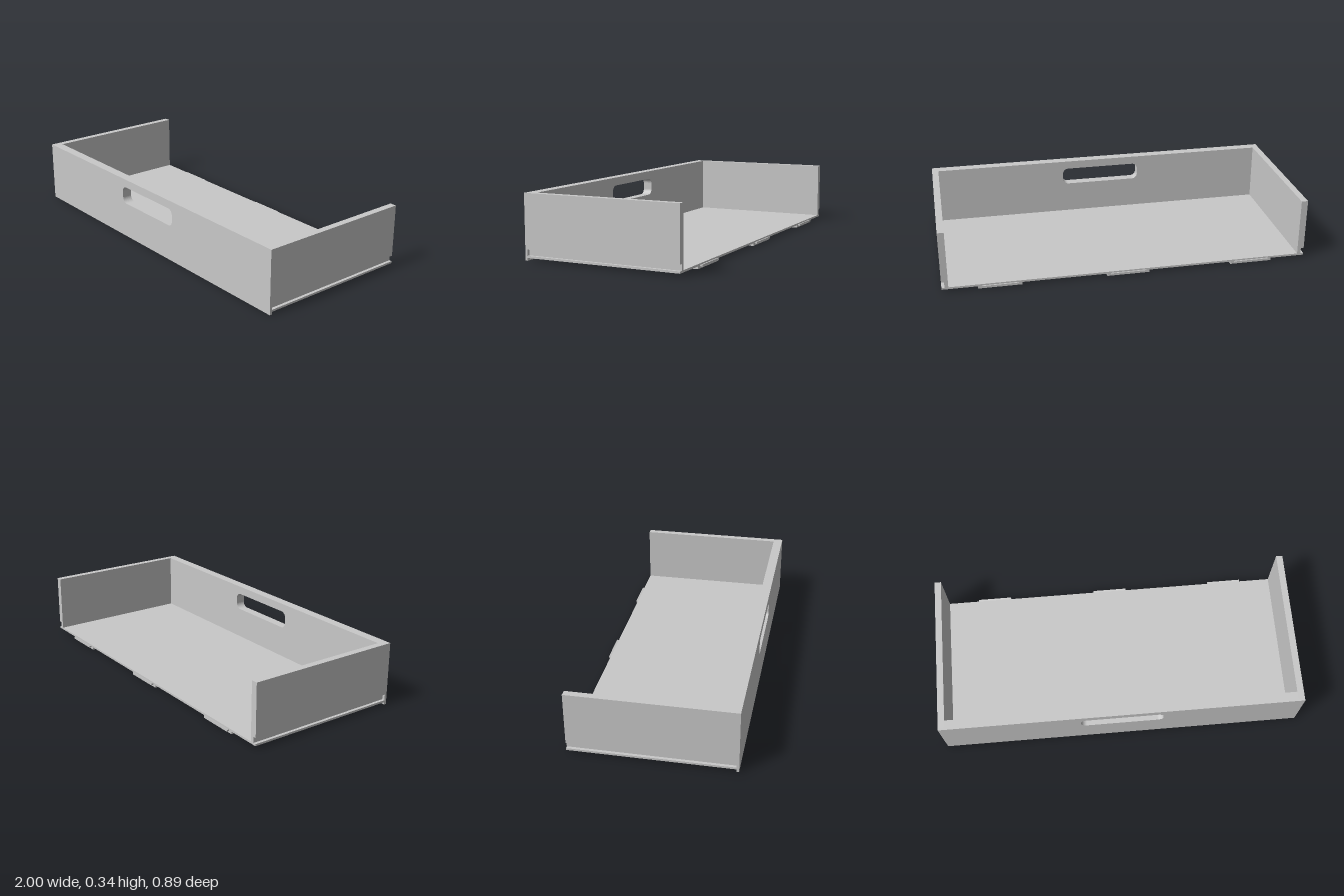
import * as THREE from 'three';

const TOP = 0.344, BASE = 0.014, FLOOR_TOP = 0.025, INNER = 0.964;
const BACK = -0.43, FACE = 0.43, FRONT = 0.443;

export function createModel() {
  const model = new THREE.Group();
  model.name = 'drawer';
  const grey = new THREE.MeshStandardMaterial({ color: 0xc8c8c8 });
  grey.name = 'lightGrey';

  const add = (name, geometry) => {
    const mesh = new THREE.Mesh(geometry, grey);
    mesh.name = name;
    model.add(mesh);
  };
  const polygon = (points) => new THREE.Shape(points.map(([x, y]) => new THREE.Vector2(x, y)));
  const extrude = (shape, z0, z1) =>
    new THREE.ExtrudeGeometry(shape, { depth: z1 - z0, bevelEnabled: false, curveSegments: 8 }).translate(0, 0, z0);

  // Rounded slot for the hand grip
  const slot = (w, y0, y1, r) => {
    const p = new THREE.Path();
    p.moveTo(-w + r, y0);
    p.lineTo(w - r, y0);
    p.absarc(w - r, y0 + r, r, -Math.PI / 2, 0);
    p.lineTo(w, y1 - r);
    p.absarc(w - r, y1 - r, r, 0, Math.PI / 2);
    p.lineTo(-w + r, y1);
    p.absarc(-w + r, y1 - r, r, Math.PI / 2, Math.PI);
    p.lineTo(-w, y0 + r);
    p.absarc(-w + r, y0 + r, r, Math.PI, Math.PI * 1.5);
    return p;
  };

  // Front panel: thin full-height face with a thicker wall behind it
  const panel = (halfWidth, bottom, z0, z1) => {
    const s = polygon([[-halfWidth, bottom], [halfWidth, bottom], [halfWidth, TOP], [-halfWidth, TOP]]);
    s.holes.push(slot(0.228, 0.201, 0.298, 0.032));
    return extrude(s, z0, z1);
  };
  add('frontFace', panel(1, 0, FACE, FRONT));
  add('frontWall', panel(INNER, BASE, 0.39, FACE));

  // Side walls with a runner groove along the outside
  for (const side of [1, -1]) {
    const outline = [
      [INNER, BASE], [1, BASE], [1, FLOOR_TOP], [0.984, FLOOR_TOP],
      [0.984, 0.057], [1, 0.057], [1, TOP], [INNER, TOP],
    ].map(([x, y]) => [x * side, y]);
    add(side > 0 ? 'leftWall' : 'rightWall', extrude(polygon(outline), BACK, FACE));
  }

  // Floor
  add('floor', new THREE.BoxGeometry(INNER * 2, FLOOR_TOP - BASE, 0.39 - BACK)
    .translate(0, (FLOOR_TOP + BASE) / 2, (0.39 + BACK) / 2));

  // Rear clips: a pad under the floor and a narrower flared tongue behind it
  const tongue = polygon([[0.43, 0.012], [0.443, 0.009], [0.443, 0.02], [0.43, 0.017]]);
  for (const x of [-0.693, 0, 0.693]) {
    add('clipPad', new THREE.BoxGeometry(0.234, BASE, 0.103).translate(x, BASE / 2, BACK + 0.0515));
    add('clipTongue', extrude(tongue, -0.097, 0.097).rotateY(Math.PI / 2).translate(x, 0, 0));
  }
  return model;
}
